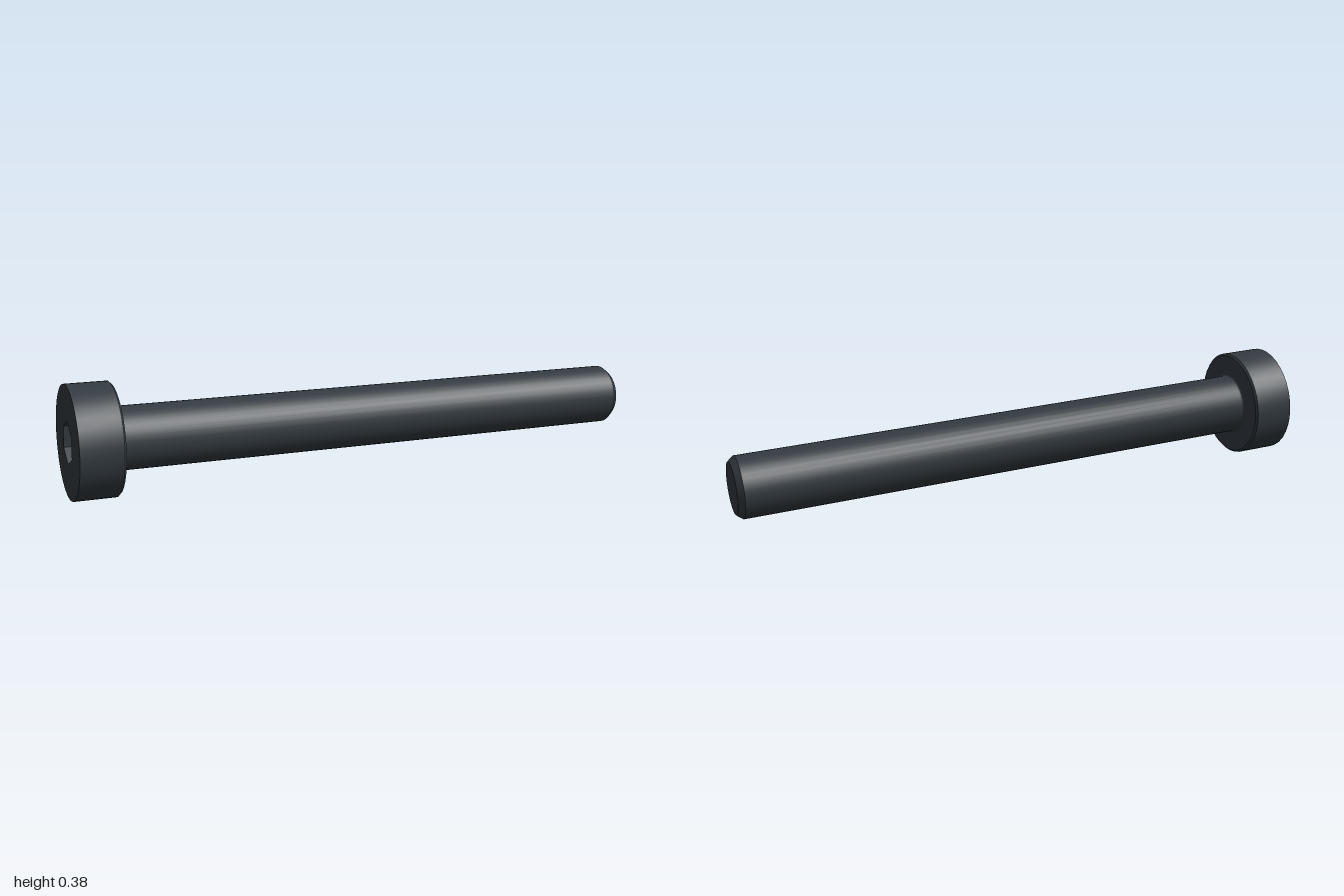
import * as THREE from 'three';
import { toCreasedNormals } from 'three/addons/utils/BufferGeometryUtils.js';

const SIDES = 36;
const LENGTH = 1.988, SHANK_R = 0.103;
const HEAD_R = 0.185, HEAD_H = 0.144;
const HEX_R = 0.0714, HEX_DEPTH = 0.09;

// Turned part from [radius, distance along the axis] pairs
function turned(points) {
  const profile = points.map(([r, y]) => new THREE.Vector2(r, y));
  return toCreasedNormals(new THREE.LatheGeometry(profile, SIDES), 0.5);
}

function polygon(radius, sides) {
  return Array.from({ length: sides }, (_, i) => {
    const a = (i / sides) * Math.PI * 2;
    return new THREE.Vector2(radius * Math.cos(a), radius * Math.sin(a));
  });
}

export function createModel() {
  const steel = new THREE.MeshStandardMaterial({ color: 0x343b41 });
  steel.name = 'dark steel';

  const model = new THREE.Group();
  model.name = 'socketBolt';
  const bolt = new THREE.Group();
  bolt.name = 'bolt';
  model.add(bolt);

  function add(name, geometry) {
    const mesh = new THREE.Mesh(geometry, steel);
    mesh.name = name;
    bolt.add(mesh);
  }

  // Head: rim, small chamfer and underside
  add('head', turned([
    [HEAD_R, 0], [HEAD_R, HEAD_H - 0.007], [HEAD_R - 0.007, HEAD_H], [SHANK_R + 0.01, HEAD_H],
  ]));

  // Shank: fillet under the head, straight body, chamfered tip
  const fillet = [];
  for (let i = 0; i <= 4; i++) {
    const a = (i / 4) * Math.PI / 2;
    fillet.push([SHANK_R + 0.01 * (1 - Math.sin(a)), HEAD_H + 0.01 * (1 - Math.cos(a))]);
  }
  add('shank', turned([
    ...fillet, [SHANK_R, LENGTH - 0.02], [SHANK_R - 0.016, LENGTH], [0, LENGTH],
  ]));

  // Head face with a hexagonal opening
  const face = new THREE.Shape(polygon(HEAD_R, SIDES));
  face.holes.push(new THREE.Path(polygon(HEX_R, 6)));
  add('headFace', new THREE.ShapeGeometry(face).rotateX(Math.PI / 2));

  // Hex socket: flat walls turned inwards, and a floor
  const walls = new THREE.CylinderGeometry(HEX_R, HEX_R, HEX_DEPTH, 6, 1, true, Math.PI / 6)
    .scale(-1, 1, 1).translate(0, HEX_DEPTH / 2, 0).toNonIndexed();
  walls.computeVertexNormals();
  add('socketWalls', walls);
  add('socketFloor', new THREE.CircleGeometry(HEX_R, 6)
    .rotateX(Math.PI / 2).translate(0, HEX_DEPTH, 0));

  // Lay the bolt down, resting on the head rim and the tip
  bolt.rotation.set(0, THREE.MathUtils.degToRad(-12.05), -Math.PI / 2 - 0.045, 'YZX');
  bolt.position.set(-0.962, 0.1915, -0.166);
  return model;
}
